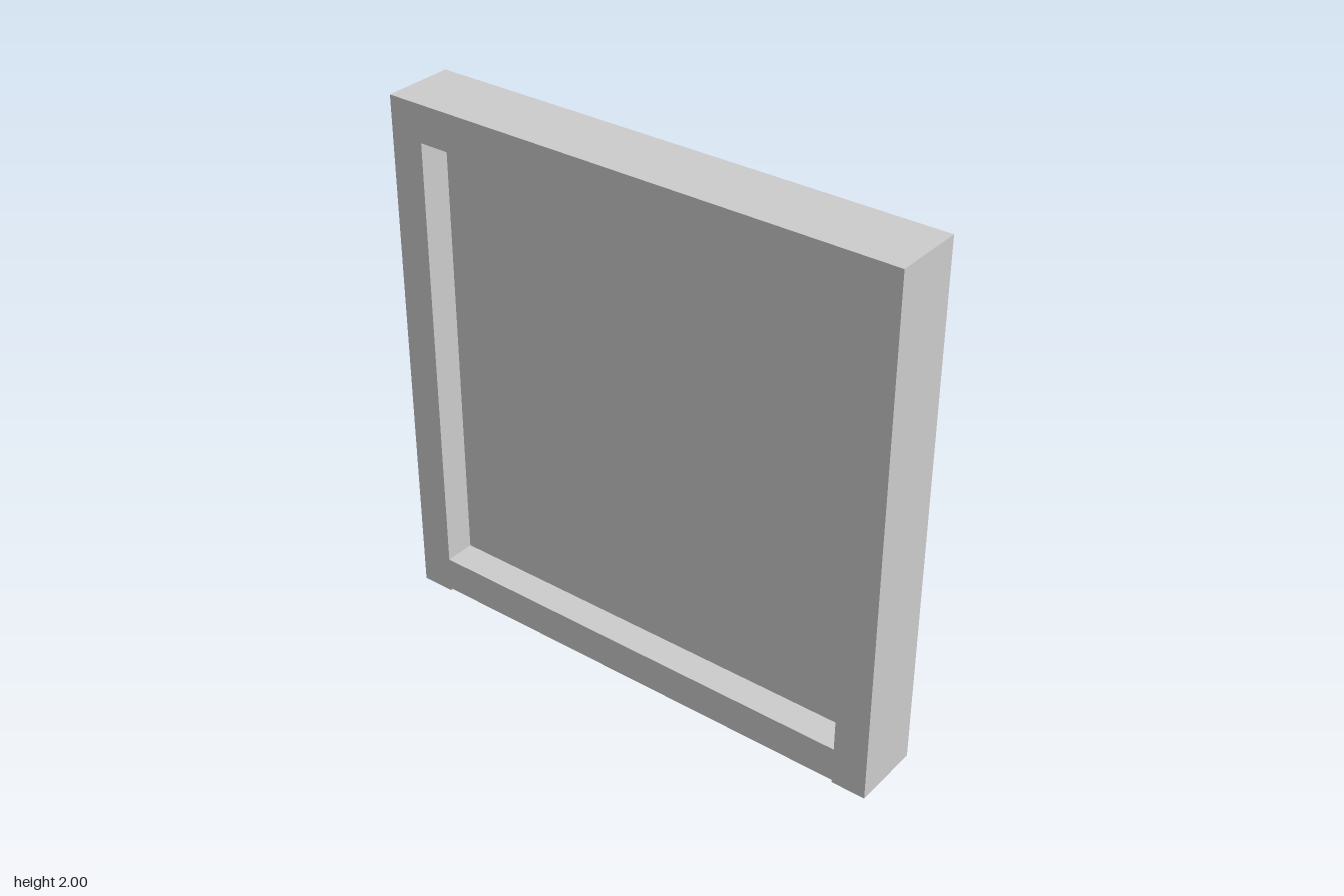
import * as THREE from 'three';

const DEPTH = 0.27;
const POST = 0.13;   // width of the upright sides
const INNER = 2 - 2 * POST;

export function createModel() {
  const group = new THREE.Group();
  group.name = 'framedPanel';
  const material = new THREE.MeshStandardMaterial({ color: 0xcccccc, flatShading: true });

  // Box given by its centre x, vertical extent, width and depth
  const addBox = (name, x, y0, y1, width, depth) => {
    const mesh = new THREE.Mesh(new THREE.BoxGeometry(width, y1 - y0, depth), material);
    mesh.name = name;
    mesh.position.set(x, (y0 + y1) / 2, 0);
    group.add(mesh);
  };

  // Upright posts
  for (const [name, side] of [['leftPost', 1], ['rightPost', -1]]) {
    addBox(name, side * (1 - POST / 2), 0, 2, POST, DEPTH);
  }

  // Rails between the posts; the lower one sits just clear of the ground
  addBox('topRail', 0, 1.86, 2, INNER, DEPTH);
  addBox('bottomRail', 0, 0.01, 0.145, INNER, DEPTH);

  // Thin central panel let into the posts and rails, showing under the lower rail
  addBox('panel', 0, 0.001, 1.93, 1.87, 0.034);

  return group;
}
